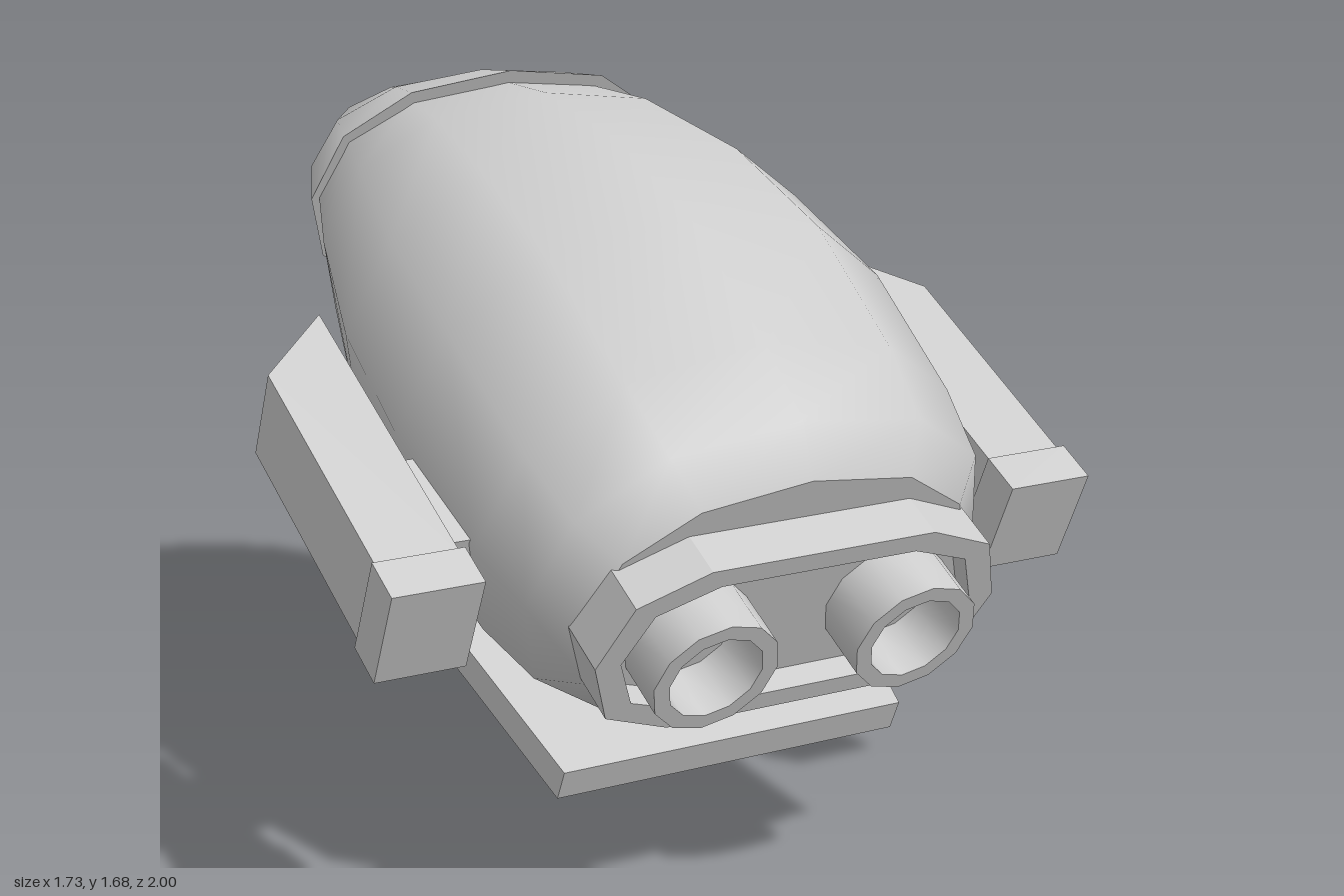
import * as THREE from 'three';
import { toCreasedNormals } from 'three/addons/utils/BufferGeometryUtils.js';

const TILT = THREE.MathUtils.degToRad(25);
const SIDES = 12;

export function createModel() {
  const grey = new THREE.MeshStandardMaterial({ color: 0xcccccc });
  grey.name = 'light grey';
  const model = new THREE.Group();
  model.name = 'turret';

  // everything above the swivel leans forward by the same angle
  const head = new THREE.Group();
  head.name = 'tiltedHead';
  head.position.y = 1;
  head.rotation.x = TILT;
  model.add(head);

  const add = (parent, name, geometry, x = 0, y = 0, z = 0) => {
    const mesh = new THREE.Mesh(geometry, grey);
    mesh.name = name;
    mesh.position.set(x, y, z);
    parent.add(mesh);
    return mesh;
  };

  // hull: rows of [z, half width, top, bottom], front to back
  add(head, 'body', loft([
    [0.81, 0.47, 0.42, -0.22],
    [0.72, 0.56, 0.51, -0.31],
    [0.53, 0.595, 0.56, -0.36],
    [0.155, 0.62, 0.61, -0.385],
    [-0.2, 0.595, 0.57, -0.36],
    [-0.55, 0.51, 0.467, -0.28],
    [-0.76, 0.44, 0.36, -0.19],
  ]));
  add(head, 'tailCone', loft([
    [-0.73, 0.47, 0.41, -0.24],
    [-0.87, 0.415, 0.32, -0.165],
    [-1.0, 0.31, 0.215, -0.075],
    [-1.09, 0.15, 0.135, 0.0],
    [-1.125, 0.01, 0.075, 0.065],
  ]));

  // recessed front mount with a raised rim
  const outline = octagon(0.49, 0.225);
  const rim = new THREE.Shape(outline);
  rim.holes.push(new THREE.Path(octagon(0.43, 0.178)));
  add(head, 'mountRim', new THREE.ExtrudeGeometry(rim, { depth: 0.14, bevelEnabled: false }), 0, 0.095, 0.78);
  add(head, 'mountFloor', new THREE.ExtrudeGeometry(new THREE.Shape(octagon(0.44, 0.19)),
    { depth: 0.08, bevelEnabled: false }), 0, 0.095, 0.78);

  // twin hollow barrels
  const barrel = turned([[0, 0.8], [0.147, 0.8], [0.147, 1.0], [0.11, 1.0], [0.11, 0.865], [0, 0.865]], 12)
    .rotateX(Math.PI / 2);
  for (const s of [1, -1]) add(head, s > 0 ? 'leftBarrel' : 'rightBarrel', barrel, s * 0.245, 0.09, 0);

  // side pods, with slanted rear ends
  for (const s of [1, -1]) {
    const pod = new THREE.Group();
    pod.name = s > 0 ? 'leftPod' : 'rightPod';
    head.add(pod);
    add(pod, 'podArm', slab([[0.665, 0.6], [0.855, 0.6], [0.855, -0.03], [0.665, -0.21]]
      .map(([x, z]) => [s * x, z]), 0.223), 0, 0.166, 0);
    add(pod, 'podCap', new THREE.BoxGeometry(0.21, 0.242, 0.108), s * 0.76, 0.056, 0.647);
    add(pod, 'podBracket', new THREE.BoxGeometry(0.17, 0.11, 0.27), s * 0.595, 0.055, 0.375);
  }

  // base plate: half outline mirrored
  const half = [[0.43, 0.83], [0.48, 0.45], [0.53, 0.1], [0.43, -0.28], [0.2, -0.52], [0.09, -0.55]];
  const mirrored = half.map(([x, z]) => [-x, z]).reverse();
  add(head, 'basePlate', slab([...half, ...mirrored], 0.08), 0, -0.32, 0);

  // stepped turntable and stem beneath the plate
  add(head, 'turntable', turned([[0, -0.47], [0.41, -0.47], [0.41, -0.39], [0, -0.39]], 16), 0, 0, 0.19);
  add(head, 'dish', turned([[0.085, -0.48], [0.24, -0.546], [0.24, -0.46], [0, -0.46]], 16), 0, 0, 0.19);
  add(head, 'stem', turned([[0, -0.76], [0.088, -0.76], [0.088, -0.46], [0, -0.46]], 16), 0, 0, 0.19);

  // upright swivel foot
  add(model, 'swivelFoot', turned([
    [0, 0], [0.054, 0], [0.06, 0.008], [0.06, 0.09], [0.16, 0.09], [0.16, 0.165],
    [0.19, 0.165], [0.198, 0.175], [0.198, 0.295], [0, 0.295],
  ], 24), 0, 0, -0.142);

  return model;
}

// flattened eight-sided outline
function octagon(w, h) {
  const quarter = [[1, 0], [0.88, 0.7], [0.55, 1]];
  const upper = [...quarter, ...quarter.map(([x, y]) => [-x, y]).reverse()];
  const lower = upper.slice(1, -1).map(([x, y]) => [x, -y]).reverse();
  return [...upper, ...lower].map(([x, y]) => new THREE.Vector2(x * w, y * h));
}

// flat slab from an outline in x and z, going down from its origin
function slab(points, depth) {
  const shape = new THREE.Shape(points.map(([x, z]) => new THREE.Vector2(x, z)));
  return new THREE.ExtrudeGeometry(shape, { depth, bevelEnabled: false }).rotateX(Math.PI / 2);
}

// lathe with crisp rims
function turned(profile, segments) {
  const points = profile.map(([r, y]) => new THREE.Vector2(r, y));
  return toCreasedNormals(new THREE.LatheGeometry(points, segments), 0.7);
}

// smooth skin through squarish twelve-sided rings, capped at both ends
function loft(rows) {
  const position = [], index = [];
  const squarish = (v) => Math.sign(v) * Math.pow(Math.abs(v), 0.88);
  const ring = ([z, w, top, bottom]) => {
    for (let j = 0; j < SIDES; j++) {
      const a = (j / SIDES) * Math.PI * 2;
      position.push(w * squarish(Math.cos(a)),
        (top + bottom) / 2 + ((top - bottom) / 2) * squarish(Math.sin(a)), z);
    }
  };
  rows.forEach(ring);
  for (let i = 0; i < rows.length - 1; i++) {
    for (let j = 0; j < SIDES; j++) {
      const k = (j + 1) % SIDES;
      const a = i * SIDES + j, b = i * SIDES + k;
      index.push(a, a + SIDES, b, b, a + SIDES, b + SIDES);
    }
  }
  for (const front of [true, false]) {
    const row = front ? rows[0] : rows[rows.length - 1];
    const start = position.length / 3;
    ring(row);
    for (let j = 1; j < SIDES - 1; j++) {
      if (front) index.push(start, start + j, start + j + 1);
      else index.push(start, start + j + 1, start + j);
    }
  }
  const geometry = new THREE.BufferGeometry();
  geometry.setAttribute('position', new THREE.Float32BufferAttribute(position, 3));
  geometry.setIndex(index);
  geometry.computeVertexNormals();
  return geometry;
}
